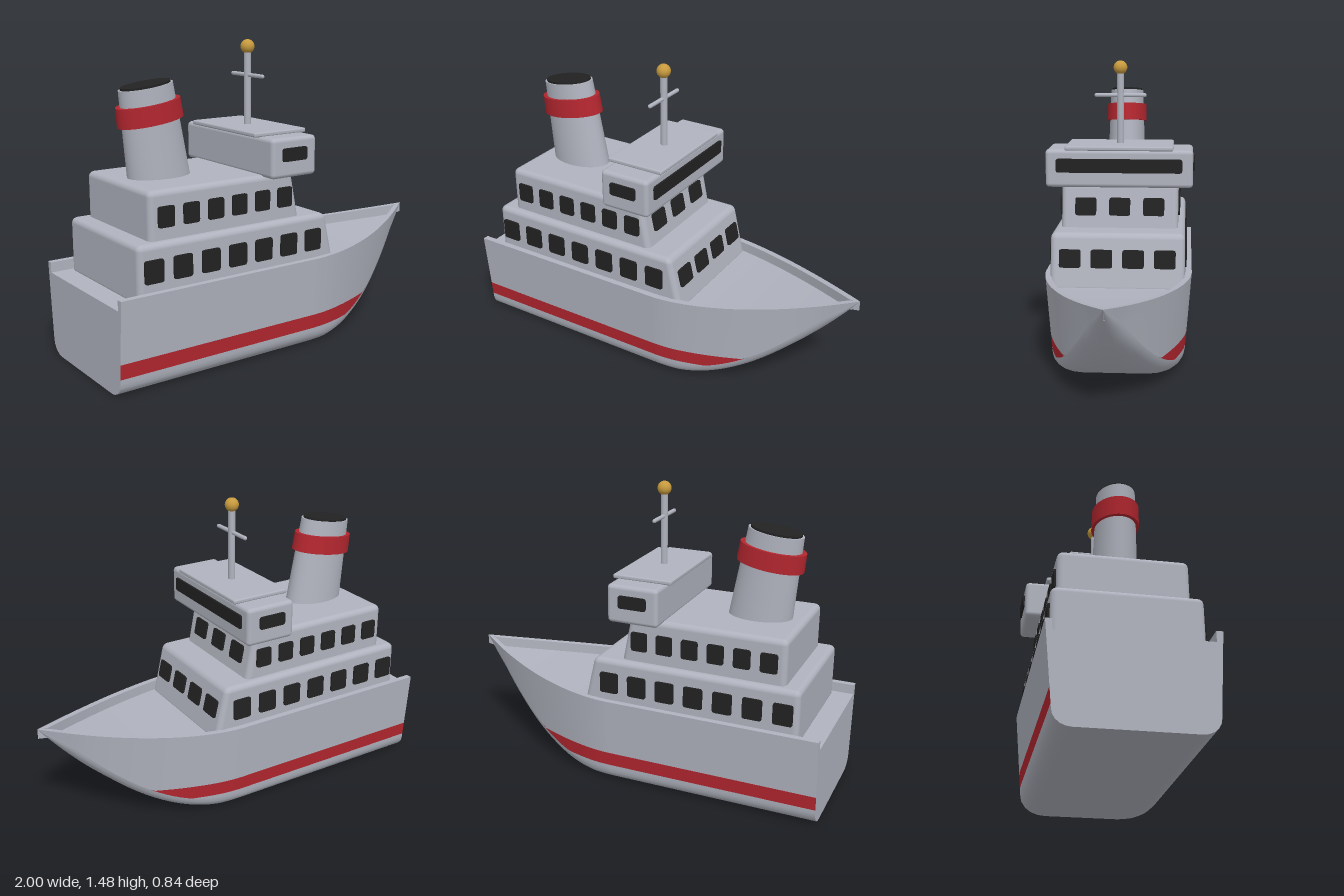
import * as THREE from 'three';
import { RoundedBoxGeometry } from 'three/addons/geometries/RoundedBoxGeometry.js';

const paint = (name, color, side = THREE.FrontSide) => {
  const m = new THREE.MeshStandardMaterial({ color, side });
  m.name = name;
  return m;
};

const STERN = -0.961, BOW = 1.009, RIM = 0.03, BULWARK = 0.05;
const lerp = THREE.MathUtils.lerp;
const ramp = (x, from) => Math.min(1, Math.max(0, (x - from) / (BOW - from)));

// Hull lines as functions of the position along the ship
const sheer = x => 0.45 + 0.085 * ramp(x, 0.1) ** 2;
const keel = x => 0.535 * ramp(x, 0.2) ** 2;
const beam = x => 0.363 * (1 - ramp(x, 0.1) ** 1.65);

// Cross-section [z, y] from the +z rail, under the keel, to the -z rail
function hullSection(x) {
  const s = sheer(x), k = keel(x), w = beam(x), t = ramp(x, 0.2);
  const low = w * lerp(0.92, 0.8, t);
  const rise = Math.min(0.07, 0.5 * (s - k));
  const round = Math.min(low, lerp(0.08, 0.2, t));
  const bilge = k + rise;
  const side = y => [lerp(low, w, s > bilge ? (y - bilge) / (s - bilge) : 1), y];
  const half = [s, (s + Math.max(0.16, bilge)) / 2, Math.max(0.16, bilge), Math.max(0.09, bilge), bilge].map(side);
  for (let i = 1; i <= 5; i++) {
    const a = (i / 5) * Math.PI / 2;
    half.push([low - round * (1 - Math.cos(a)), bilge - rise * Math.sin(a)]);
  }
  return [...half, [0, k], ...half.slice().reverse().map(([z, y]) => [-z, y])];
}

// Rails and sunken deck, from the -z rail to the +z rail
function deckSection(x) {
  const s = sheer(x), w = beam(x), inner = Math.max(0, w - RIM), d = s - BULWARK;
  return [[-w, s], [-inner, s], [-inner, d], [inner, d], [inner, s], [w, s]];
}

// Skin a row of cross-sections; rows listed in accent use the second material
function loft(section, accent = []) {
  const xs = [STERN, -0.4];
  for (let i = 0; i <= 32; i++) xs.push(lerp(0.1, BOW, i / 32));
  const pos = [], faces = [[], []];
  const n = section(0).length;
  xs.forEach((x, i) => {
    section(x).forEach(([z, y]) => pos.push(x, y, z));
    if (i === xs.length - 1) return;
    for (let j = 0; j < n - 1; j++) {
      const a = i * n + j, b = a + n;
      faces[accent.includes(j) ? 1 : 0].push(a, a + 1, b, a + 1, b + 1, b);
    }
  });
  const g = new THREE.BufferGeometry();
  g.setAttribute('position', new THREE.Float32BufferAttribute(pos, 3));
  g.setIndex([...faces[0], ...faces[1]]);
  g.addGroup(0, faces[0].length, 0);
  g.addGroup(faces[0].length, faces[1].length, 1);
  g.computeVertexNormals();
  return g;
}

// Rounded block whose front (+x) wall leans back by slope
function houseGeometry(length, height, width, slope) {
  const g = new RoundedBoxGeometry(length, height, width, 3, 0.028);
  const p = g.attributes.position, nrm = g.attributes.normal, v = new THREE.Vector3();
  for (let i = 0; i < p.count; i++) {
    if (p.getX(i) <= 0) continue;
    p.setX(i, p.getX(i) - slope * p.getY(i));
    v.fromBufferAttribute(nrm, i);
    v.y += slope * Math.max(0, v.x);
    v.normalize();
    nrm.setXYZ(i, v.x, v.y, v.z);
  }
  return g;
}

// Thin window pane with rounded corners
function paneGeometry(w, h, r = 0.012) {
  const s = new THREE.Shape(), x = w / 2, y = h / 2;
  s.moveTo(-x + r, -y);
  s.lineTo(x - r, -y).quadraticCurveTo(x, -y, x, -y + r);
  s.lineTo(x, y - r).quadraticCurveTo(x, y, x - r, y);
  s.lineTo(-x + r, y).quadraticCurveTo(-x, y, -x, y - r);
  s.lineTo(-x, -y + r).quadraticCurveTo(-x, -y, -x + r, -y);
  return new THREE.ExtrudeGeometry(s, { depth: 0.009, bevelEnabled: false, curveSegments: 3 });
}

export function createModel() {
  const grey = paint('ship grey', 0xb0b3be);
  const red = paint('stripe red', 0xb3262f);
  const dark = paint('window black', 0x222222);
  const gold = paint('brass gold', 0xc79a3e);

  const model = new THREE.Group();
  model.name = 'ship';
  // The ship sits slightly turned to its side
  const ship = new THREE.Group();
  ship.name = 'shipBody';
  ship.rotation.y = -0.1047;
  ship.position.set(-0.004, 0, 0.04);
  model.add(ship);

  const add = (name, geometry, material, x = 0, y = 0, z = 0, parent = ship) => {
    const m = new THREE.Mesh(geometry, material);
    m.name = name;
    m.position.set(x, y, z);
    parent.add(m);
    return m;
  };

  // Hull with painted stripe, deck and transom
  const last = hullSection(0).length - 2;
  add('hull', loft(hullSection, [2, last - 2]), [grey, red]);
  const deck = loft(deckSection).toNonIndexed();
  deck.clearGroups();
  deck.computeVertexNormals();
  add('deckAndBulwark', deck, grey);
  const outline = [...hullSection(STERN), ...deckSection(STERN).slice(1, -1)];
  const transom = new THREE.ShapeGeometry(new THREE.Shape(outline.map(([z, y]) => new THREE.Vector2(z, y))));
  add('transom', transom.rotateY(-Math.PI / 2), grey, STERN);

  // Deckhouses with rows of windows
  const houses = [
    { name: 'lowerDeckhouse', back: -0.856, front: 0.212, y0: 0.38, y1: 0.66, half: 0.328, slope: 0.23,
      side: { n: 7, x: -0.781, step: 0.146, w: 0.095, h: 0.105 }, fore: { n: 4, step: 0.154 }, wy: 0.54 },
    { name: 'upperDeckhouse', back: -0.777, front: 0.024, y0: 0.63, y1: 0.88, half: 0.292, slope: 0.2,
      side: { n: 6, x: -0.695, step: 0.129, w: 0.082, h: 0.095 }, fore: { n: 3, step: 0.17 }, wy: 0.763 },
  ];
  for (const h of houses) {
    const g = new THREE.Group();
    g.name = h.name;
    ship.add(g);
    const mid = (h.y0 + h.y1) / 2;
    add(h.name + 'Walls', houseGeometry(h.front - h.back, h.y1 - h.y0, h.half * 2, h.slope), grey,
      (h.front + h.back) / 2, mid, 0, g);
    const pane = paneGeometry(h.side.w, h.side.h);
    for (const s of [1, -1]) for (let i = 0; i < h.side.n; i++) {
      const m = add('sideWindow', pane, dark, h.side.x + i * h.side.step, h.wy, s * h.half, g);
      if (s < 0) m.rotation.y = Math.PI;
    }
    const forePane = paneGeometry(0.105, 0.09);
    for (let i = 0; i < h.fore.n; i++) {
      const z = (i - (h.fore.n - 1) / 2) * h.fore.step;
      const m = add('frontWindow', forePane, dark, h.front - h.slope * (h.wy - mid), h.wy, z, g);
      m.rotation.set(0, Math.PI / 2, Math.atan(h.slope), 'ZYX');
    }
  }

  // Bridge across the front of the upper deckhouse
  add('bridge', new RoundedBoxGeometry(0.258, 0.187, 0.726, 3, 0.02), grey, -0.044, 0.962);
  add('bridgeRoof', new RoundedBoxGeometry(0.3, 0.022, 0.53, 2, 0.008), grey, -0.05, 1.064);
  add('bridgeFrontWindow', paneGeometry(0.62, 0.068), dark, 0.085, 0.978).rotation.y = Math.PI / 2;
  for (const s of [1, -1]) {
    const m = add('bridgeSideWindow', paneGeometry(0.14, 0.062), dark, -0.047, 0.978, s * 0.363);
    if (s < 0) m.rotation.y = Math.PI;
  }

  // Mast with crossbar and ball
  add('mast', new THREE.CylinderGeometry(0.017, 0.017, 0.38, 20), grey, -0.051, 1.25);
  add('crossbar', new THREE.CapsuleGeometry(0.01, 0.24, 4, 12).rotateX(Math.PI / 2), grey, -0.051, 1.313);
  add('mastBall', new THREE.SphereGeometry(0.034, 24, 16), gold, -0.051, 1.449);

  // Oval funnel leaning aft
  const funnel = new THREE.Group();
  funnel.name = 'funnel';
  funnel.position.set(-0.555, 0.87, 0);
  funnel.rotation.z = 0.138;
  ship.add(funnel);
  const oval = (top, bottom, h) => new THREE.CylinderGeometry(top, bottom, h, 40).scale(1, 1, 0.66);
  add('funnelBody', oval(0.134, 0.157, 0.46), grey, 0, 0.2, 0, funnel);
  add('funnelBand', oval(0.16, 0.164, 0.09), red, 0, 0.31, 0, funnel);
  add('funnelMouth', oval(0.124, 0.124, 0.016), dark, 0, 0.432, 0, funnel);
  return model;
}
